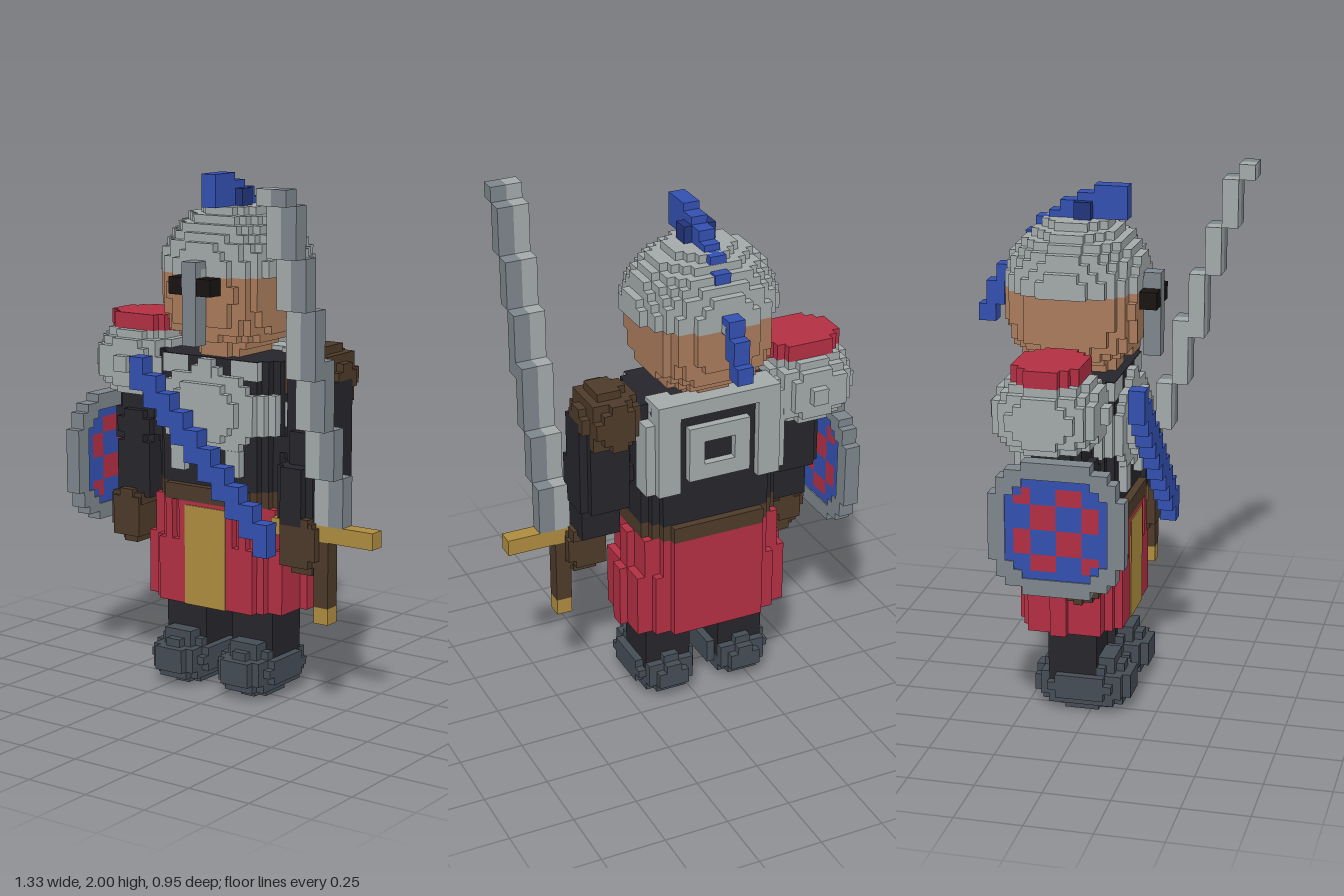
import * as THREE from 'three';

const U = 2 / 64; // size of one small block
const CX = -0.066, CZ = -0.095; // middle of the body
const ORIGIN = [CX, 0, CZ];
const C = {
  steel: 0xa3a9a9, darkSteel: 0x7d868c, cloth: 0x26252b, red: 0xb22f43, blue: 0x3350b0, navy: 0x22357c,
  gold: 0xae8c3f, brown: 0x4d3a2a, skin: 0xa97b5b, boot: 0x444c55, black: 0x171412,
};
const mats = {};
for (const k in C) mats[k] = new THREE.MeshStandardMaterial({ color: C[k], flatShading: true });

// Rounded volumes: |x/r|^n + ... < 1
const blob = (cx, cy, cz, rx, ry, rz, n = 2) => (x, y, z) =>
  Math.abs((x - cx) / rx) ** n + Math.abs((y - cy) / ry) ** n + Math.abs((z - cz) / rz) ** n < 1;
const column = (cx, cz, rx, rz, y0, y1, n = 2) => (x, y, z) =>
  y > y0 && y < y1 && Math.abs((x - cx) / rx) ** n + Math.abs((z - cz) / rz) ** n < 1;

// Fills a volume with small blocks and keeps only the outer faces
function voxels(inside) {
  const at = (c) => inside(...c.map((v, i) => ORIGIN[i] + (v + 0.5) * U));
  const pos = [];
  for (let i = -24; i < 24; i++) for (let j = 0; j < 64; j++) for (let k = -16; k < 16; k++) {
    const cell = [i, j, k];
    if (!at(cell)) continue;
    for (let a = 0; a < 3; a++) for (const s of [1, -1]) {
      const next = [...cell];
      next[a] += s;
      if (at(next)) continue;
      const corner = (p, q) => {
        const v = [...cell];
        if (s > 0) v[a]++;
        v[(a + 1) % 3] += p;
        v[(a + 2) % 3] += q;
        return v.map((t, m) => ORIGIN[m] + t * U);
      };
      const [A, B, D, E] = [corner(0, 0), corner(1, 0), corner(1, 1), corner(0, 1)];
      for (const v of s > 0 ? [A, B, D, A, D, E] : [A, D, B, A, E, D]) pos.push(...v);
    }
  }
  const g = new THREE.BufferGeometry();
  g.setAttribute('position', new THREE.Float32BufferAttribute(pos, 3));
  g.computeVertexNormals();
  return g;
}

export function createModel() {
  const root = new THREE.Group();
  const add = (name, color, geo, parent = root) => {
    const m = new THREE.Mesh(geo, mats[color]);
    m.name = name;
    parent.add(m);
    return m;
  };
  const vox = (name, color, inside) => add(name, color, voxels(inside));
  const box = (name, color, x0, x1, y0, y1, z0, z1, parent) => {
    const m = add(name, color, new THREE.BoxGeometry(x1 - x0, y1 - y0, z1 - z0), parent);
    m.position.set((x0 + x1) / 2, (y0 + y1) / 2, (z0 + z1) / 2);
  };
  const group = (name) => {
    const g = new THREE.Group();
    g.name = name;
    root.add(g);
    return g;
  };

  // Legs and boots
  for (const [side, x] of [['right', -0.223], ['left', 0.091]]) {
    vox(side + 'Leg', 'cloth', column(x, -0.064, 0.1, 0.1, 0.09, 0.4, 3));
    const toe = blob(x, 0.105, -0.03, 0.13, 0.1, 0.195, 2.1);
    const ankle = column(x, -0.0, 0.07, 0.1, 0.1, 0.21, 2.5);
    vox(side + 'Boot', 'boot', (...p) => toe(...p) || ankle(...p));
    box(side + 'Sole', 'boot', x - 0.062, x + 0.062, 0, 0.06, -0.1, 0.03);
  }

  // Pleated skirt with a front panel, and the belt
  vox('skirt', 'red', (x, y, z) => {
    if (y < 0.345 || y > 0.75) return false;
    const pleat = 1 + 0.09 * Math.cos(16 * Math.atan2(z - CZ, x - CX));
    const flare = y > 0.6 ? 0.3 : 0.335;
    return Math.abs((x - CX) / flare) ** 2.7 + Math.abs((z + 0.08) / 0.205) ** 2.7 < pleat;
  });
  box('frontPanel', 'gold', -0.16, 0.03, 0.342, 0.735, 0.03, 0.128);
  vox('belt', 'brown', column(CX, -0.08, 0.29, 0.21, 0.735, 0.8, 2.7));

  // Torso and armour
  vox('torso', 'cloth', column(CX, -0.08, 0.285, 0.185, 0.78, 1.31, 3));
  vox('breastplate', 'steel', blob(CX, 1.11, -0.03, 0.3, 0.215, 0.192, 2.2));
  for (const s of [-1, 1]) {
    const strap = (name, a, b, ...r) => box(name, 'steel', ...[CX + s * a, CX + s * b].sort((p, q) => p - q), ...r);
    strap('frontStrap', 0.1, 0.22, 1.24, 1.31, -0.03, 0.093);
    strap('backStrap', 0.16, 0.25, 0.96, 1.33, -0.282, -0.16);
    strap('sidePlate', 0.25, 0.287, 0.96, 1.25, -0.25, -0.16);
    strap('waistPlate', 0.095, 0.16, 0.87, 0.97, 0.03, 0.126);
  }
  box('collarFront', 'steel', -0.098, -0.035, 1.24, 1.31, 0.03, 0.124);
  box('collarBack', 'steel', -0.29, 0.16, 1.27, 1.33, -0.282, -0.19);
  vox('backPlate', 'steel', (x, y, z) => {
    const a = Math.abs(x - CX), b = Math.abs(y - 1.11);
    return z > -0.285 && z < -0.2 && a < 0.125 && b < 0.1 && !(a < 0.06 && b < 0.035);
  });

  // Diagonal sash
  const sash = group('sash');
  for (let i = 0; i < 10; i++) {
    const x = -0.35 + i * 0.0635, y = 1.305 - i * 0.0635;
    box('sashBlock', 'blue', x, x + 0.0635, y - 0.127, y, 0.157, 0.22, sash);
  }

  // Neck, head and face
  vox('neck', 'skin', column(CX, -0.08, 0.1, 0.14, 1.28, 1.42, 2.5));
  const skull = blob(CX, 1.56, -0.09, 0.232, 0.215, 0.25, 3);
  vox('head', 'skin', (x, y, z) => y < 1.63 && skull(x, y, z));
  box('rightEye', 'black', -0.16, -0.098, 1.56, 1.625, 0.1, 0.22);
  box('leftEye', 'black', -0.035, 0.03, 1.56, 1.625, 0.1, 0.22);
  box('noseGuard', 'darkSteel', -0.098, -0.035, 1.37, 1.685, 0.157, 0.222);

  // Helmet dome
  const dome = blob(CX, 1.62, CZ, 0.29, 0.268, 0.268, 2);
  vox('helmet', 'steel', (x, y, z) => y > 1.62 && dome(x, y, z));

  // Crest: [y0, y1, z0, z1] blocks from the front over the back, then the hanging tail
  const crest = group('crest');
  for (const [y0, y1, z0, z1] of [
    [1.875, 2, -0.03, 0.095], [1.875, 1.97, -0.095, -0.03], [1.86, 1.94, -0.158, -0.095], [1.82, 1.9, -0.2, -0.158],
    [1.8, 1.875, -0.25, -0.2], [1.75, 1.82, -0.29, -0.25],
    [1.62, 1.685, -0.405, -0.345], [1.53, 1.62, -0.445, -0.375], [1.465, 1.53, -0.476, -0.41],
  ]) box('crestBlock', 'blue', -0.098, -0.035, y0, y1, z0, z1, crest);
  box('crestBase', 'navy', -0.13, -0.003, 1.865, 1.94, -0.1, -0.035, crest);

  // Arms and gloves; the left hand reaches forward to the sword
  for (const [side, x, s, gx, gz] of [['right', -0.46, -1, -0.475, 0.02], ['left', 0.33, 1, 0.35, 0.063]]) {
    const upper = column(x, -0.064, 0.098, 0.1, 0.88, 1.25, 2.8);
    const elbow = blob(x, 1.0, -0.05, 0.118, 0.12, 0.11, 2.3);
    const fore = column(x - s * 0.005, gz - 0.04, 0.088, 0.09, 0.72, 0.95, 2.8);
    vox(side + 'Arm', 'cloth', (...p) => upper(...p) || elbow(...p) || fore(...p));
    vox(side + 'Glove', 'brown', blob(gx, 0.65, gz, 0.08, 0.11, 0.075, 3));
    box(side + 'Cuff', 'brown', gx - 0.07, gx + 0.07, 0.69, 0.735, gz - 0.08, gz + 0.06);
  }

  // Shoulder guards
  vox('leftShoulderPad', 'brown', blob(0.315, 1.25, CZ, 0.112, 0.122, 0.138, 2.3));
  vox('rightShoulderGuard', 'steel', blob(-0.48, 1.25, CZ, 0.19, 0.145, 0.205, 2.3));
  vox('shoulderCap', 'red', column(-0.473, CZ, 0.145, 0.138, 1.36, 1.435, 2.6));

  // Round shield with a chequered face on both sides
  const SY = 0.86, SZ = -0.033, SX = -0.635, N = 16, S = 0.0315;
  const within = (y, z, r) => Math.abs((y - SY) / r) ** 2.8 + Math.abs((z - SZ) / r) ** 2.8 < 1;
  const check = (y, z) => (Math.floor((y - SY) / (3 * S)) + Math.floor((z - SZ) / (3 * S))) % 2;
  const shield = group('shield');
  for (let a = 0; a < N; a++) for (let b = 0; b < N; b++) {
    const y = SY + (a - N / 2 + 0.5) * S, z = SZ + (b - N / 2 + 0.5) * S;
    if (!within(y, z, 0.253)) continue;
    const face = within(y, z, 0.195);
    const t = face ? 0.026 : 0.031;
    const color = !face ? 'darkSteel' : check(y, z) && within(y, z, 0.17) ? 'red' : 'blue';
    box(face ? 'shieldFace' : 'shieldRim', color, SX - t, SX + t, y - S / 2, y + S / 2, z - S / 2, z + S / 2, shield);
  }

  // Curved sword: stepped two-tone blade, guard, grip and pommel
  const sword = group('sword');
  const steps = [0.73, 0.92, 1.11, 1.305, 1.56, 1.75, 1.94, 2];
  for (let i = 0; i < 7; i++) {
    const z = 0.032 + i * 0.0634;
    const y1 = i === 2 ? 1.37 : steps[i + 1];
    box('bladeEdge', 'steel', 0.412, 0.474, steps[i], y1, z, z + 0.0634, sword);
    box('bladeSpine', 'darkSteel', 0.474, 0.537, steps[i], y1, z, z + 0.0634, sword);
  }
  box('guard', 'gold', 0.22, 0.666, 0.668, 0.732, 0.032, 0.095, sword);
  box('grip', 'brown', 0.412, 0.474, 0.415, 0.668, 0.032, 0.095, sword);
  box('pommel', 'gold', 0.412, 0.474, 0.352, 0.415, 0.032, 0.095, sword);
  return root;
}
